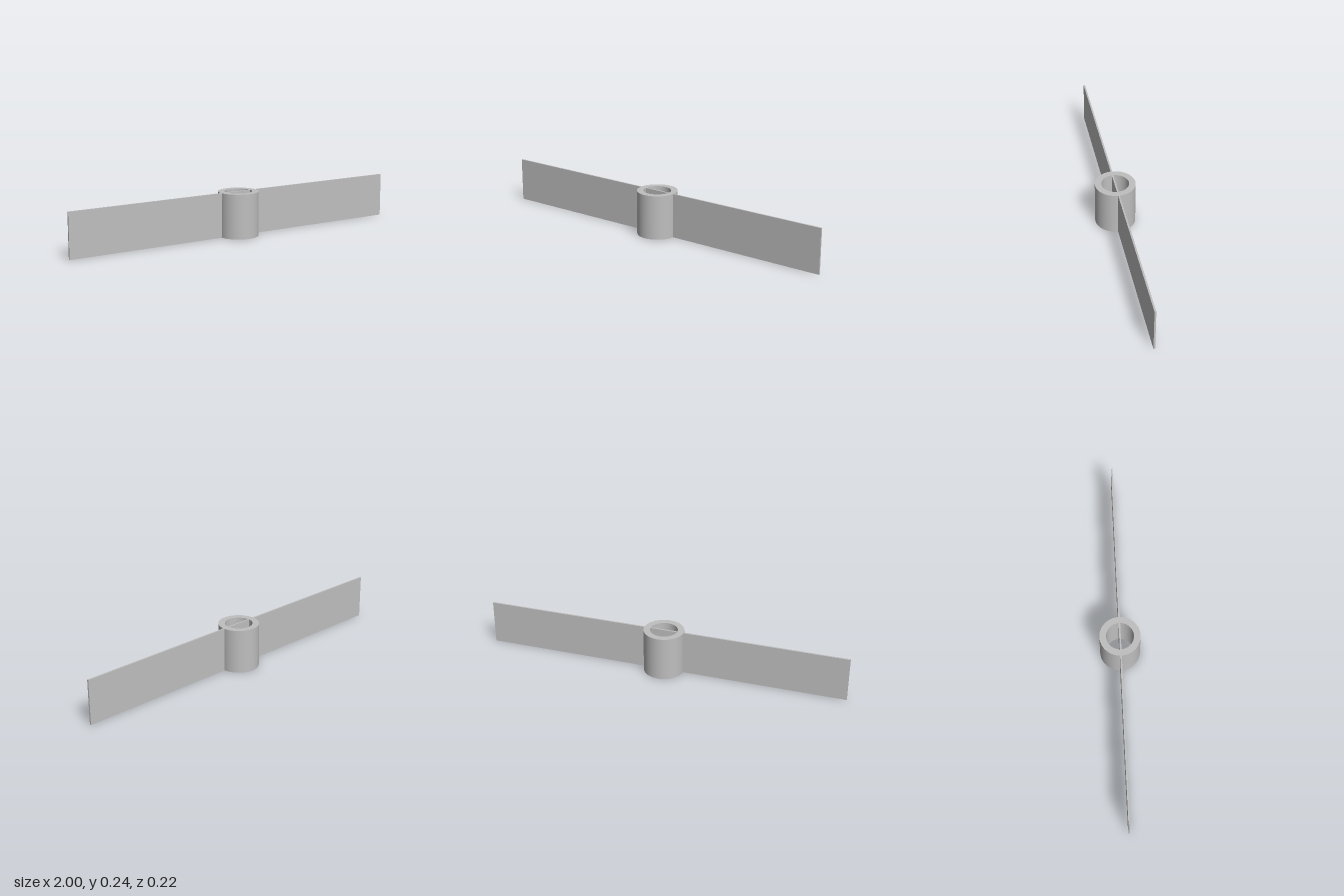
import * as THREE from 'three';

const HEIGHT = 0.242;
const OUTER = 0.109;
const INNER = 0.074;
const THICKNESS = 0.009;

export function createModel() {
  const model = new THREE.Group();
  model.name = 'bladedHub';

  const metal = new THREE.MeshStandardMaterial({ color: 0xbfbfbf });
  metal.name = 'light grey metal';

  // Hollow hub: ring section extruded upward
  const ring = new THREE.Shape().absarc(0, 0, OUTER, 0, Math.PI * 2, false);
  ring.holes.push(new THREE.Path().absarc(0, 0, INNER, 0, Math.PI * 2, true));
  const hubGeometry = new THREE.ExtrudeGeometry(ring, {
    depth: HEIGHT, bevelEnabled: false, curveSegments: 64,
  });

  // Smooth the round walls with radial normals, leaving the end caps flat
  const { position, normal } = hubGeometry.attributes;
  for (let i = 0; i < position.count; i++) {
    if (Math.abs(normal.getZ(i)) > 0.5) continue;
    const x = position.getX(i), y = position.getY(i);
    const r = Math.hypot(x, y) * (Math.hypot(x, y) > (INNER + OUTER) / 2 ? 1 : -1);
    normal.setXYZ(i, x / r, y / r, 0);
  }
  hubGeometry.rotateX(-Math.PI / 2);
  const hub = new THREE.Mesh(hubGeometry, metal);
  hub.name = 'hub';
  model.add(hub);

  // Thin flat blade running through the hub
  const blade = new THREE.Mesh(new THREE.BoxGeometry(2, HEIGHT, THICKNESS), metal);
  blade.name = 'blade';
  blade.position.y = HEIGHT / 2;
  model.add(blade);

  return model;
}
